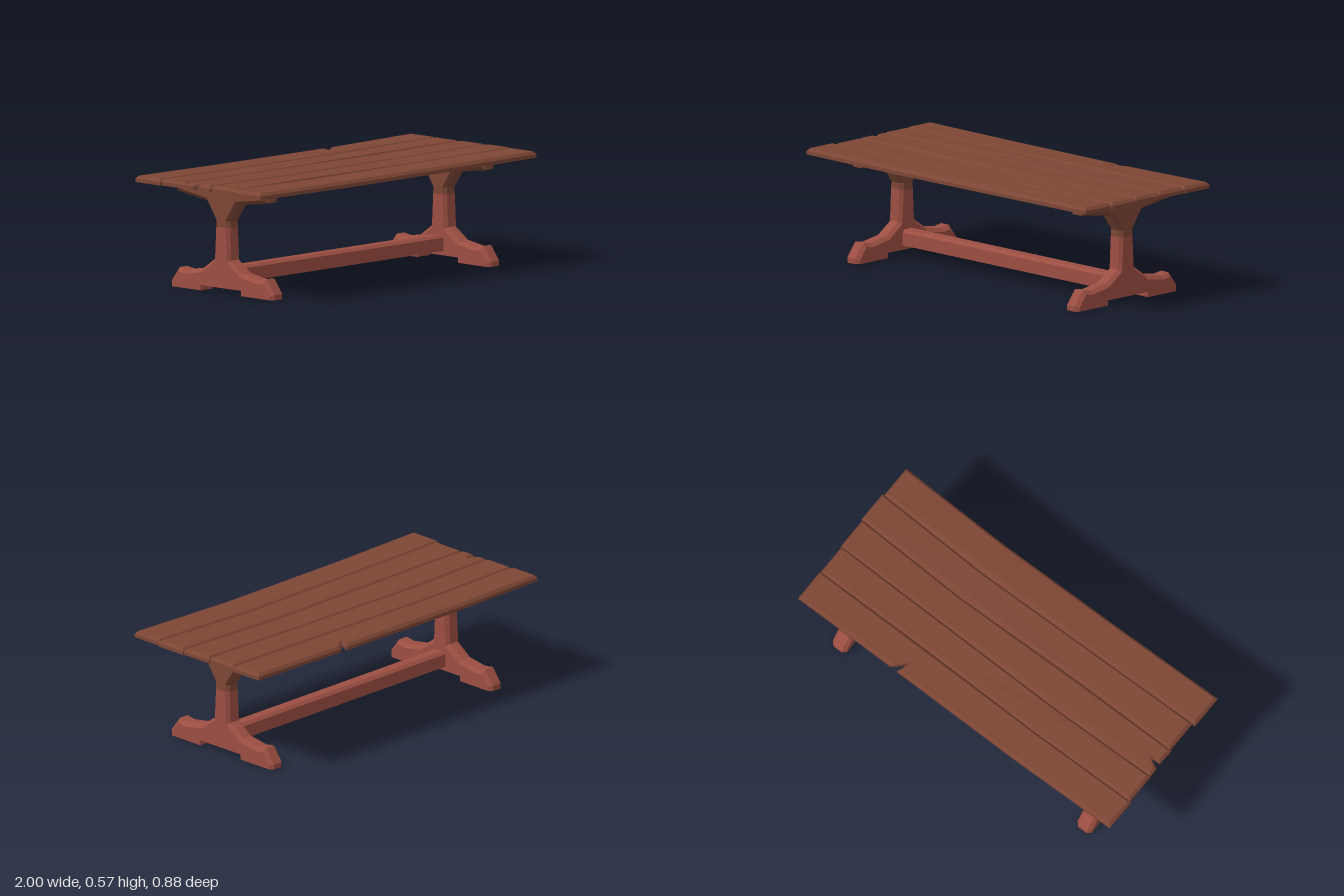
import * as THREE from 'three';

const darkWood = new THREE.MeshStandardMaterial({ color: 0x7d4635 });
darkWood.name = 'dark brown wood';
const redWood = new THREE.MeshStandardMaterial({ color: 0x9c4e42 });
redWood.name = 'red brown wood';

// Joins counter-clockwise rings of [u, v] at heights w into a closed, flat-faced solid
function loft(name, rings, heights, place, material) {
  const positions = [];
  const put = (r, i) => positions.push(...place(rings[r][i][0], rings[r][i][1], heights[r]));
  const n = rings[0].length, last = rings.length - 1;
  for (let r = 0; r < last; r++) {
    for (let i = 0; i < n; i++) {
      const j = (i + 1) % n;
      put(r, i); put(r, j); put(r + 1, j);
      put(r, i); put(r + 1, j); put(r + 1, i);
    }
  }
  for (const r of [0, last]) {
    const outline = rings[r].map(([u, v]) => new THREE.Vector2(u, v));
    for (const [a, b, c] of THREE.ShapeUtils.triangulateShape(outline, [])) {
      for (const i of r === 0 ? [c, b, a] : [a, b, c]) put(r, i);
    }
  }
  const geometry = new THREE.BufferGeometry();
  geometry.setAttribute('position', new THREE.Float32BufferAttribute(positions, 3));
  geometry.computeVertexNormals();
  const mesh = new THREE.Mesh(geometry, material);
  mesh.name = name;
  return mesh;
}

function counterClockwise(points) {
  const area = THREE.ShapeUtils.area(points.map(([u, v]) => new THREE.Vector2(u, v)));
  return area < 0 ? [...points].reverse() : points;
}

// Moves a counter-clockwise outline inward, with limited mitres
function inset(points, d) {
  const n = points.length;
  const normal = (a, b) => {
    const du = b[0] - a[0], dv = b[1] - a[1], l = Math.hypot(du, dv);
    return [-dv / l, du / l];
  };
  return points.map((p, i) => {
    const n1 = normal(points[(i + n - 1) % n], p), n2 = normal(p, points[(i + 1) % n]);
    const s = d / Math.max(0.5, 1 + n1[0] * n2[0] + n1[1] * n2[1]);
    return [p[0] + (n1[0] + n2[0]) * s, p[1] + (n1[1] + n2[1]) * s];
  });
}

// Half profiles of the trestle as [y, z]: full outline and bevelled face
const LOWER_OUTER = [[0.027, 0.143], [0, 0.143], [0, 0.36], [0.027, 0.36], [0.1, 0.305],
  [0.092, 0.252], [0.11, 0.142], [0.17, 0.055], [0.335, 0.049]];
const LOWER_FACE = [[0.027, 0.143], [0, 0.143], [0, 0.342], [0.02, 0.342], [0.081, 0.297],
  [0.073, 0.252], [0.093, 0.135], [0.16, 0.041], [0.335, 0.032]];
const UPPER_OUTER = [[0.335, 0.049], [0.37, 0.048], [0.457, 0.107], [0.488, 0.32], [0.541, 0.32]];
const UPPER_FACE = [[0.335, 0.032], [0.37, 0.03], [0.475, 0.1], [0.505, 0.305], [0.541, 0.305]];

function trestle(name, x) {
  const group = new THREE.Group();
  group.name = name;
  const h = 0.045, bevel = 0.018;
  const mirror = half => counterClockwise([...half, ...half.map(([y, z]) => [y, -z]).reverse()]);
  const part = (partName, outer, face, material) => {
    const o = mirror(outer), f = mirror(face);
    group.add(loft(partName, [f, o, o, f], [-h, bevel - h, h - bevel, h],
      (y, z, w) => [w, y, z], material));
  };
  part('foot and lower post', LOWER_OUTER, LOWER_FACE, redWood);
  part('upper post and arms', UPPER_OUTER, UPPER_FACE, darkWood);
  group.position.set(x, 0, -0.0135);
  return group;
}

// Plank seams: z at each x station, from back edge to front edge
const STATIONS = [-1, -0.4, 0.35, 1];
const SEAMS = [
  [-0.437, -0.443, -0.438, -0.438],
  [-0.264, -0.267, -0.257, -0.259],
  [-0.095, -0.104, -0.094, -0.088],
  [0.077, 0.081, 0.068, 0.088],
  [0.257, 0.25, 0.24, 0.261],
  [0.44, 0.432, 0.426, 0.441],
];
const ENDS = [[-1, 0.99], [-0.992, 0.987], [-0.99, 0.993], [-0.982, 1], [-1, 0.99]];

function plank(i) {
  const [x0, x1] = ENDS[i];
  const rail = seam => STATIONS.map((x, k) => [seam[k], Math.min(x1, Math.max(x0, x))]);
  const back = rail(SEAMS[i]), front = rail(SEAMS[i + 1]);
  // Chipped notch in the back edge
  if (i === 0) back.splice(2, 1, [-0.438, 0.36], [-0.375, 0.338], [-0.436, 0.4]);
  // Split in the end of the middle plank
  const split = i === 2 ? [[-0.013, -0.985], [-0.013, -0.925], [-0.042, -0.989]] : [];
  const outline = counterClockwise([...back, ...front.reverse(), ...split]);
  const top = inset(outline, 0.013);
  // Planks sag slightly toward the middle
  const place = (z, x, y) => [x, y - 0.008 * (1 - x * x), z];
  return loft('plank' + (i + 1), [outline, outline, top], [0.541, 0.559, 0.574], place, darkWood);
}

export function createModel() {
  const table = new THREE.Group();
  table.name = 'trestle table';

  const tabletop = new THREE.Group();
  tabletop.name = 'tabletop';
  for (let i = 0; i < ENDS.length; i++) tabletop.add(plank(i));
  table.add(tabletop);

  table.add(trestle('leftTrestle', 0.79), trestle('rightTrestle', -0.775));

  // Long beam with bevelled upper edges
  const beam = counterClockwise([[0.05, -0.04], [0.05, 0.04], [0.117, 0.04],
    [0.131, 0.025], [0.131, -0.025], [0.117, -0.04]]);
  const stretcher = loft('stretcher', [beam, beam], [-0.74, 0.755], (y, z, x) => [x, y, z], redWood);
  stretcher.position.z = -0.0135;
  table.add(stretcher);
  return table;
}
